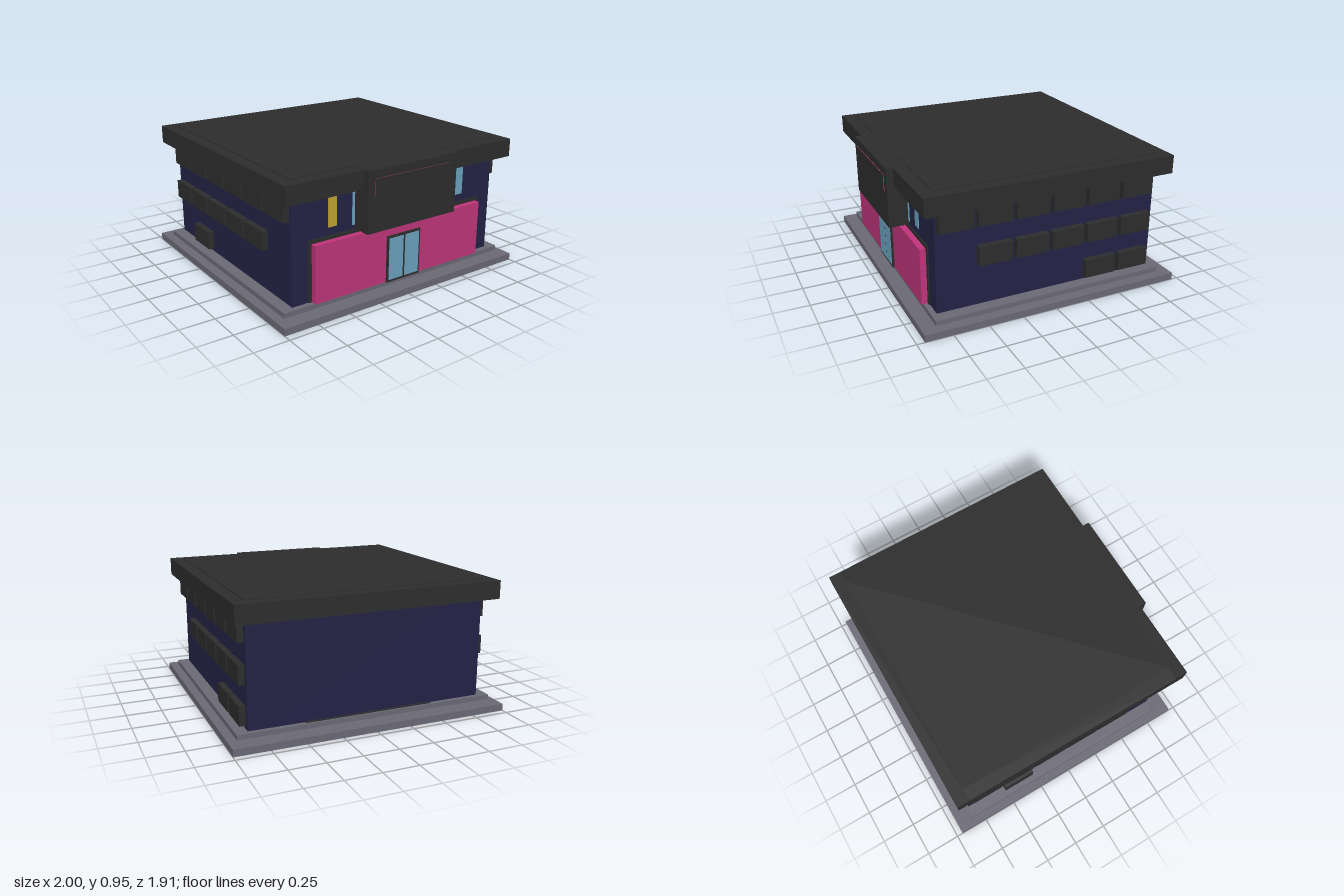
import * as THREE from 'three';

export function createModel() {
  const model = new THREE.Group();
  const mat = (name, color) => {
    const m = new THREE.MeshStandardMaterial({ color });
    m.name = name;
    return m;
  };
  const navy = mat('navy wall', 0x232347);
  const dark = mat('charcoal', 0x2d2d2d);
  const pink = mat('pink panel', 0xc0357b);
  const stone = mat('grey stone', 0x6b6975);
  const glass = mat('blue glass', 0x6ca3c0);
  const yellow = mat('yellow glass', 0xc3a432);

  // Box given by its limits along each axis
  const box = (name, material, [x0, x1], [y0, y1], [z0, z1]) => {
    const mesh = new THREE.Mesh(new THREE.BoxGeometry(x1 - x0, y1 - y0, z1 - z0), material);
    mesh.position.set((x0 + x1) / 2, (y0 + y1) / 2, (z0 + z1) / 2);
    mesh.name = name;
    model.add(mesh);
    return mesh;
  };

  // Ground slab and raised kerb
  box('groundSlab', stone, [-1, 1], [0, 0.05], [-0.956, 0.945]);
  box('kerbFront', stone, [-0.943, 0.943], [0.06, 0.095], [0.81, 0.848]);
  box('kerbBack', stone, [-0.943, 0.943], [0.06, 0.095], [-0.853, -0.82]);
  for (const s of [-1, 1]) {
    const xs = s > 0 ? [0.86, 0.943] : [-0.943, -0.86];
    box('kerbSide', stone, xs, [0.06, 0.095], [-0.82, 0.81]);
  }
  box('rearStrip', dark, [-0.47, 0.47], [0.09, 0.1], [-0.838, -0.82]);

  // Main block
  box('walls', navy, [-0.86, 0.86], [0.05, 0.94], [-0.82, 0.81]);

  // Roof cap and the overhanging fascia around it
  box('roofCap', dark, [-0.86, 0.86], [0.94, 0.951], [-0.82, 0.81]);
  box('fasciaFront', dark, [-0.95, 0.95], [0.815, 0.945], [0.81, 0.902]);
  box('fasciaBack', dark, [-0.95, 0.95], [0.815, 0.945], [-0.908, -0.82]);
  box('fasciaRight', dark, [-0.95, -0.86], [0.815, 0.945], [-0.82, 0.81]);
  box('fasciaLeft', dark, [0.86, 0.95], [0.815, 0.945], [-0.82, 0.81]);

  // Projecting sign block with a blank plate
  box('signBlock', dark, [-0.376, 0.376], [0.525, 0.947], [0.81, 0.951]);
  box('signPlate', pink, [-0.32, 0.32], [0.77, 0.89], [0.951, 0.955]);
  box('signFace', dark, [-0.32, 0.32], [0.77, 0.89], [0.955, 0.956]);

  // Shop front: thin dark backing with a pink panel
  box('shopBacking', dark, [-0.74, 0.74], [0.095, 0.523], [0.81, 0.818]);
  box('shopPanel', pink, [-0.715, 0.715], [0.095, 0.497], [0.818, 0.86]);

  // Double door
  box('doorFrame', dark, [-0.142, 0.142], [0.095, 0.43], [0.86, 0.874]);
  box('doorPaneRight', glass, [-0.13, -0.008], [0.112, 0.415], [0.874, 0.877]);
  box('doorPaneLeft', glass, [0.008, 0.13], [0.112, 0.415], [0.874, 0.877]);

  // Narrow front windows
  box('frontWindowRight', yellow, [-0.583, -0.518], [0.578, 0.783], [0.81, 0.815]);
  box('frontWindowLeft', glass, [0.514, 0.58], [0.578, 0.783], [0.81, 0.815]);
  box('innerWindowRight', glass, [-0.395, -0.33], [0.553, 0.815], [0.81, 0.815]);
  box('innerWindowLeft', glass, [0.33, 0.395], [0.553, 0.815], [0.81, 0.815]);

  // Side window boxes in three rows; columns count from the front
  const addWindows = (side, y, first, last) => {
    for (let i = first; i <= last; i++) {
      const z = 0.675 - 0.268 * i;
      const xs = side > 0 ? [0.86, 0.904] : [-0.904, -0.86];
      box('sideWindow', dark, xs, [y - 0.067, y + 0.067], [z - 0.119, z + 0.119]);
    }
  };
  for (const side of [-1, 1]) {
    addWindows(side, 0.737, 0, 5);
    addWindows(side, 0.461, 1, 5);
    addWindows(side, 0.187, 4, side > 0 ? 5 : 4);
  }

  return model;
}
